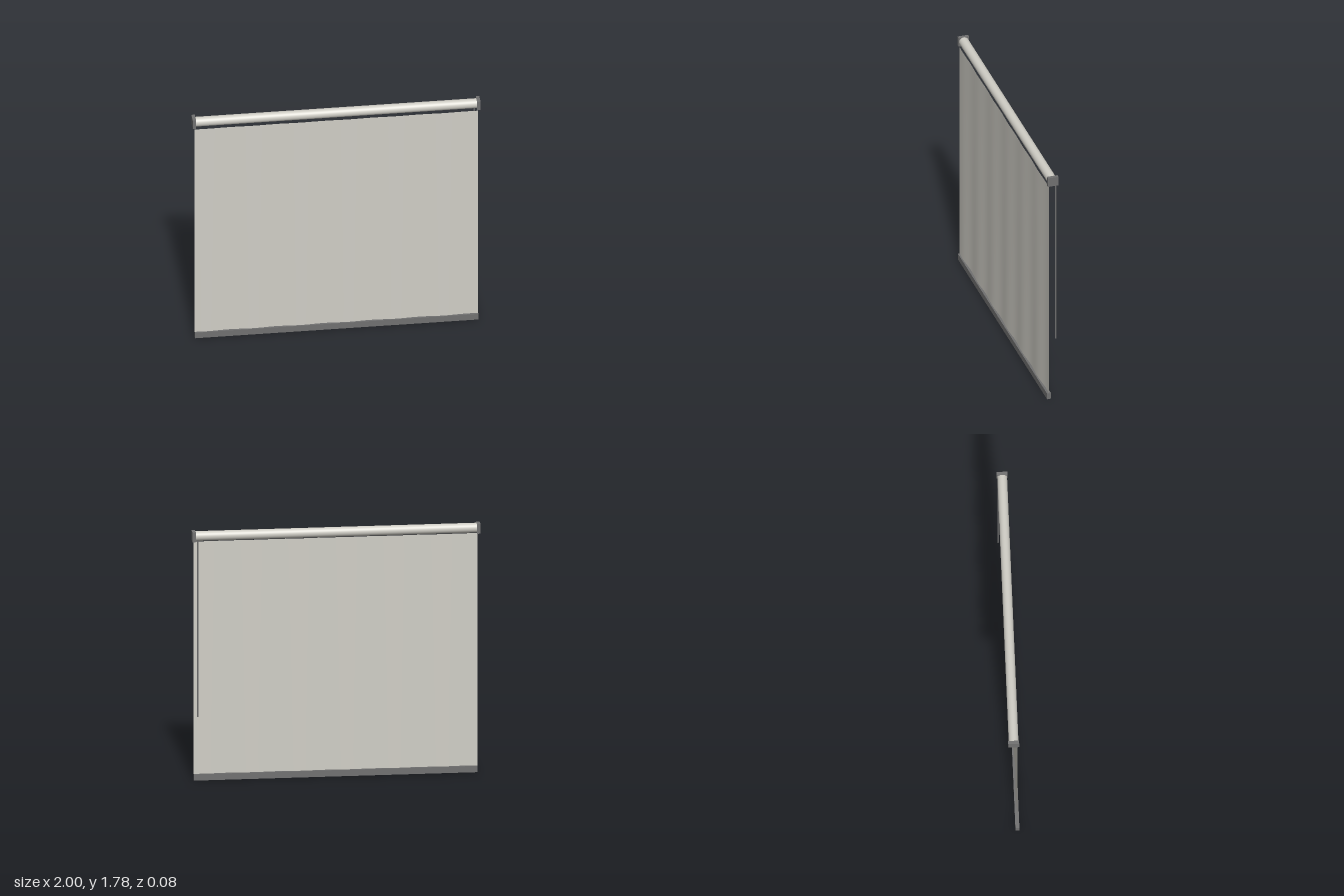
import * as THREE from 'three';

const TOP = 1.705, BAR_H = 0.045, HALF_W = 0.985, CLOTH_Z = 0.027, ROLLER_Y = 1.751;

const cloth = new THREE.MeshStandardMaterial({ color: 0xd0cec6, side: THREE.DoubleSide });
const rollerMat = new THREE.MeshStandardMaterial({ color: 0xd0cec6 });
const dark = new THREE.MeshStandardMaterial({ color: 0x707070 });

function add(group, name, geometry, material, x, y, z) {
  const mesh = new THREE.Mesh(geometry, material);
  mesh.name = name;
  mesh.position.set(x, y, z);
  group.add(mesh);
  return mesh;
}

// Hanging cloth with soft vertical ripples that deepen towards the hem
function clothGeometry() {
  const bottom = BAR_H - 0.015;
  const geo = new THREE.PlaneGeometry(HALF_W * 2, TOP - bottom, 96, 12);
  const pos = geo.attributes.position;
  for (let i = 0; i < pos.count; i++) {
    const drop = 0.5 - pos.getY(i) / (TOP - bottom);
    const ripple = Math.sin((pos.getX(i) / 0.33) * Math.PI * 2);
    pos.setZ(i, ripple * (0.0015 + 0.002 * drop));
  }
  geo.computeVertexNormals();
  return { geo, midY: (TOP + bottom) / 2 };
}

export function createModel() {
  const group = new THREE.Group();
  group.name = 'rollerBlind';

  // Roller tube
  const tube = new THREE.CylinderGeometry(0.034, 0.034, 1.96, 40);
  tube.rotateZ(Math.PI / 2);
  add(group, 'rollerTube', tube, rollerMat, 0, ROLLER_Y, 0);

  // End brackets
  for (const side of [-1, 1]) {
    add(group, side > 0 ? 'leftBracket' : 'rightBracket',
      new THREE.BoxGeometry(0.024, 0.068, 0.076), dark, side * 0.988, ROLLER_Y, 0);
  }

  // Cloth and weighted bottom bar
  const { geo, midY } = clothGeometry();
  add(group, 'blindCloth', geo, cloth, 0, midY, CLOTH_Z);
  add(group, 'bottomBar', new THREE.BoxGeometry(HALF_W * 2, BAR_H, 0.028),
    dark, 0, BAR_H / 2, CLOTH_Z - 0.001);

  // Pull cord hanging behind the cloth at the model's left
  const cordTop = 1.73, cordEnd = 0.465;
  add(group, 'pullCord', new THREE.CylinderGeometry(0.005, 0.005, cordTop - cordEnd, 12),
    dark, 0.963, (cordTop + cordEnd) / 2, -0.029);

  return group;
}
